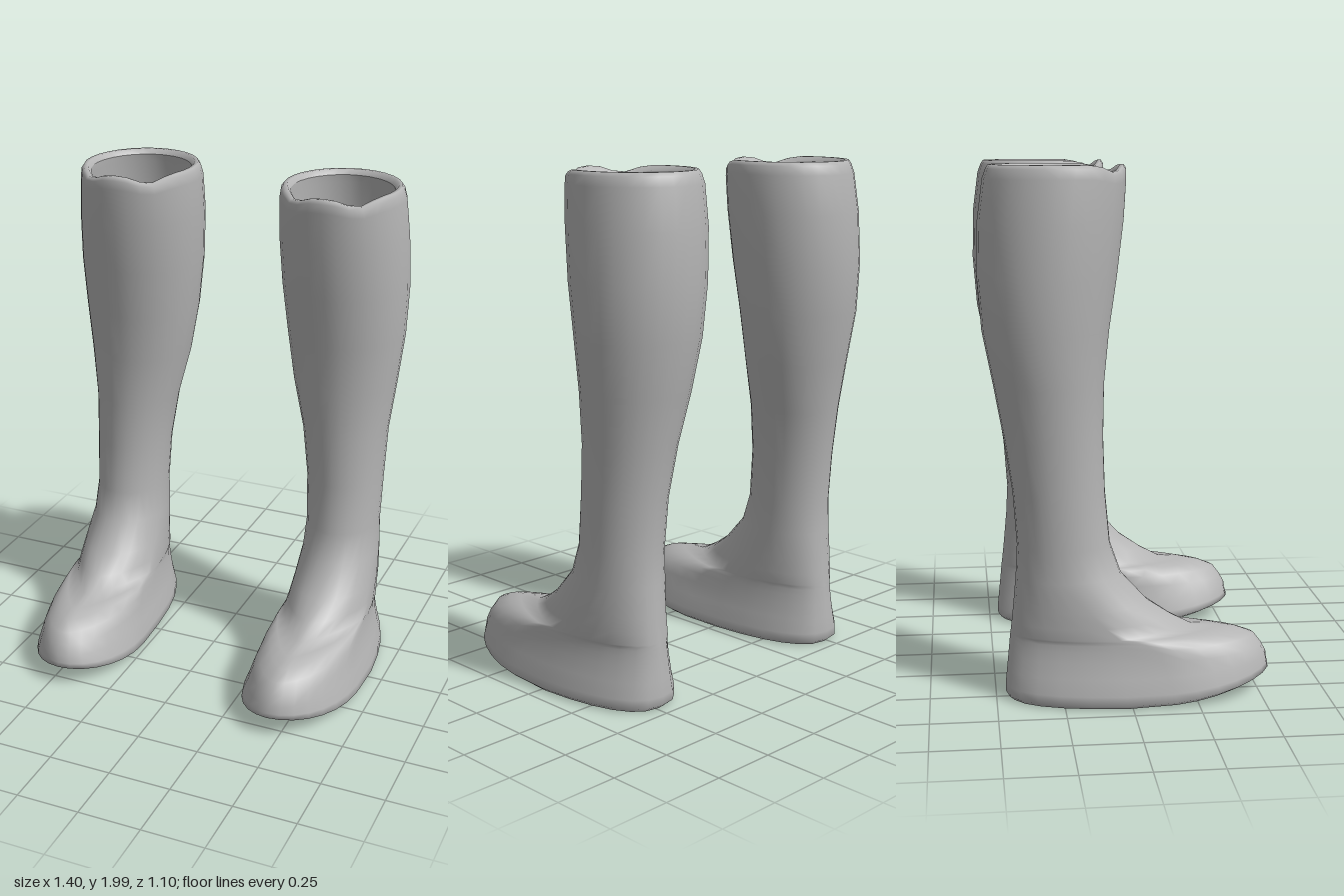
import * as THREE from 'three';

const SIDES = 28;

// Boot outline by height: y, front z, back z, inner x, outer x
const OUTER = [
  [0.01, 0.52, -0.445, 0.285, 0.685],
  [0.025, 0.55, -0.463, 0.265, 0.703],
  [0.06, 0.545, -0.464, 0.266, 0.7],
  [0.12, 0.54, -0.458, 0.283, 0.682],
  [0.18, 0.52, -0.452, 0.294, 0.668],
  [0.22, 0.49, -0.448, 0.3, 0.662],
  [0.245, 0.43, -0.446, 0.304, 0.658],
  [0.258, 0.36, -0.444, 0.307, 0.656],
  [0.266, 0.25, -0.443, 0.309, 0.655],
  [0.31, 0.165, -0.438, 0.314, 0.651],
  [0.37, 0.075, -0.432, 0.32, 0.647],
  [0.48, -0.025, -0.422, 0.328, 0.638],
  [0.6, -0.067, -0.416, 0.333, 0.631],
  [0.8, -0.085, -0.43, 0.323, 0.635],
  [1.0, -0.09, -0.46, 0.294, 0.64],
  [1.2, -0.085, -0.496, 0.244, 0.662],
  [1.4, -0.065, -0.535, 0.212, 0.682],
  [1.6, -0.035, -0.55, 0.19, 0.69],
  [1.8, -0.01, -0.545, 0.18, 0.682],
  [1.95, 0, -0.525, 0.183, 0.668],
  [1.985, 0, -0.512, 0.19, 0.66],
];

const inset = ([y, f, b, i, o], d, newY = y) => [newY, f - d, b + d, i + d, o - d];

// One egg-shaped ring; scale shrinks it towards its middle
function ring([y, front, back, xin, xout], scale = 1) {
  const low = Math.max(0, 1 - y / 0.45);
  const zWide = (front + back) / 2 + 0.13 * low;
  const cx = (xin + xout) / 2, half = (xout - xin) / 2;
  const pts = [];
  for (let k = 0; k < SIDES; k++) {
    const t = (k / SIDES) * Math.PI * 2, c = Math.cos(t), s = Math.sin(t);
    // rounder heel, tapering instep
    const p = s > 0 ? 2 - 0.7 * Math.exp(-(((y - 0.27) / 0.05) ** 2)) : 2 + 0.5 * low;
    const power = (v) => Math.sign(v) * Math.abs(v) ** (2 / p);
    const z = zWide + scale * power(s) * (s > 0 ? front - zWide : zWide - back);
    const forward = Math.max(0, z / 0.55);
    const x = cx + scale * half * power(c) - 0.03 * forward * low;
    // toe spring at the sole, and two shallow dips in the front of the rim
    const spring = 0.08 * forward ** 2 * Math.max(0, 1 - y / 0.17);
    const off = Math.abs(t - Math.PI / 2);
    const dip = 0.028 * Math.exp(-(((off - 0.6) / 0.28) ** 2)) * Math.max(0, (y - 1.85) / 0.15);
    pts.push([x, y + spring - dip, z]);
  }
  return pts;
}

// Skin a stack of rings; side = -1 mirrors it
function loft(rings, side) {
  const pos = [], index = [];
  for (const r of rings) for (const [x, y, z] of r) pos.push(x * side, y, z);
  for (let j = 0; j < rings.length - 1; j++) {
    for (let k = 0; k < SIDES; k++) {
      const n = (k + 1) % SIDES;
      const a = j * SIDES + k, b = j * SIDES + n, c = a + SIDES, d = b + SIDES;
      if (side > 0) index.push(a, c, b, b, c, d);
      else index.push(a, b, c, b, d, c);
    }
  }
  const g = new THREE.BufferGeometry();
  g.setAttribute('position', new THREE.Float32BufferAttribute(pos, 3));
  g.setIndex(index);
  g.computeVertexNormals();
  return g;
}

export function createModel() {
  const grey = new THREE.MeshStandardMaterial({ color: 0xb4b4b4 });
  grey.name = 'boot grey';

  const top = OUTER[OUTER.length - 1];
  // Rounded rim, then the lining back down the shaft
  const rim = [inset(top, 0.01, 2), inset(top, 0.025, 2), inset(top, 0.038, 1.98)];
  const lining = OUTER.filter((r) => r[0] >= 0.48 && r[0] < 1.96).reverse().map((r) => inset(r, 0.045));
  const floor = [0.2, 0, -0.39, 0.36, 0.61];

  const model = new THREE.Group();
  model.name = 'pairOfBoots';
  for (const side of [1, -1]) {
    const boot = new THREE.Group();
    boot.name = side > 0 ? 'leftBoot' : 'rightBoot';
    const add = (name, rings) => {
      const mesh = new THREE.Mesh(loft(rings, side), grey);
      mesh.name = name;
      boot.add(mesh);
    };
    add('sole', [0, 0.35, 0.7, 1].map((s) => ring(OUTER[0], s)));
    add('upper', [...OUTER, ...rim].map((r) => ring(r)));
    add('lining', [rim[2], ...lining, floor].map((r) => ring(r)));
    add('insole', [ring(floor), ring(floor, 0)]);
    model.add(boot);
  }
  return model;
}
